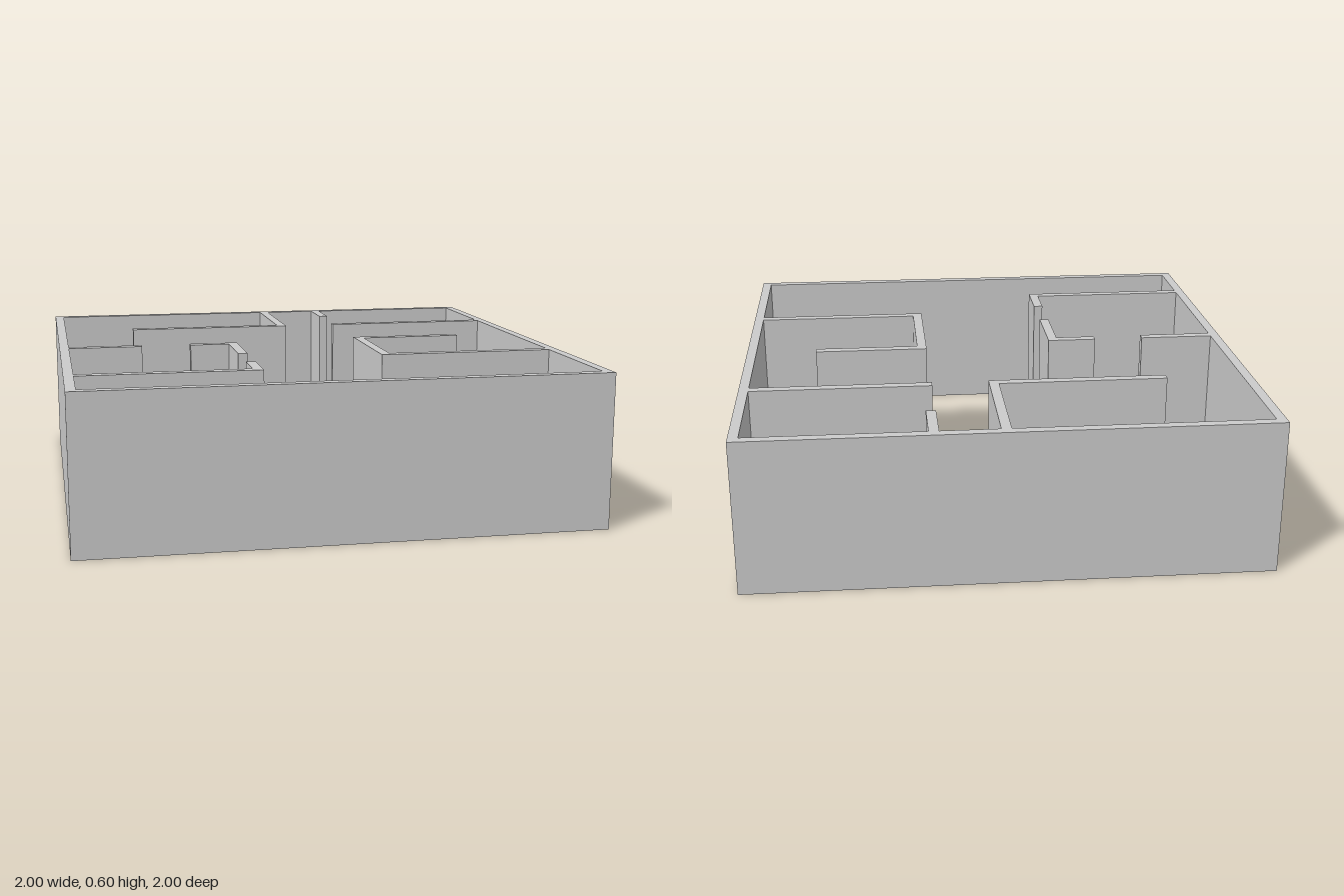
import * as THREE from 'three';

const HEIGHT = 0.6;
const T = 0.038;      // wall thickness
const IN = 1 - T;     // inner face of the outer walls

const material = new THREE.MeshStandardMaterial({ color: 0xcccccc, flatShading: true });

// Raise a floor-plan shape (drawn with y = -z) to the full wall height.
function raise(name, shape) {
  const geometry = new THREE.ExtrudeGeometry(shape, { depth: HEIGHT, bevelEnabled: false });
  geometry.rotateX(-Math.PI / 2);
  const mesh = new THREE.Mesh(geometry, material);
  mesh.name = name;
  return mesh;
}

// Footprint of a wall following an [x, z] centreline, with mitred right-angle corners.
function wallShape(path) {
  const pts = path.map(([x, z]) => new THREE.Vector2(x, -z));
  const normals = pts.slice(1).map((p, i) => {
    const d = p.clone().sub(pts[i]).normalize();
    return new THREE.Vector2(-d.y, d.x);
  });
  const side = (sign) => pts.map((p, i) => {
    const offset = new THREE.Vector2();
    if (i > 0) offset.add(normals[i - 1]);
    if (i < normals.length) offset.add(normals[i]);
    return p.clone().addScaledVector(offset, sign * T / 2);
  });
  return new THREE.Shape([...side(-1), ...side(1).reverse()]);
}

function square(r) {
  return [[-r, -r], [r, -r], [r, r], [-r, r]].map(([x, y]) => new THREE.Vector2(x, y));
}

export function createModel() {
  const group = new THREE.Group();
  group.name = 'floorPlanWalls';

  // Outer walls, open above and below
  const outer = new THREE.Shape(square(1));
  outer.holes.push(new THREE.Path(square(IN).reverse()));
  group.add(raise('outerWalls', outer));

  // Inner partitions as [x, z] centrelines
  const partitions = {
    backRoomWall: [[0.019, -IN], [0.019, -0.484], [-0.663, -0.484]],
    backDoorStub: [[0.278, -IN], [0.278, -0.763]],
    backLeftRoomWall: [[0.259, -0.484], [IN, -0.484]],
    rightRoomBackWall: [[-IN, 0.019], [-0.663, 0.019]],
    rightRoomCorner: [[-0.461, 0.019], [-0.281, 0.019], [-0.281, 0.295]],
    rightRoomFrontWall: [[-0.281, 0.497], [-0.281, 0.677], [-IN, 0.677]],
    leftRoomWall: [[0.717, -0.041], [0.278, -0.041], [0.278, 0.418], [IN, 0.418]],
  };
  for (const [name, path] of Object.entries(partitions)) {
    group.add(raise(name, wallShape(path)));
  }
  return group;
}
